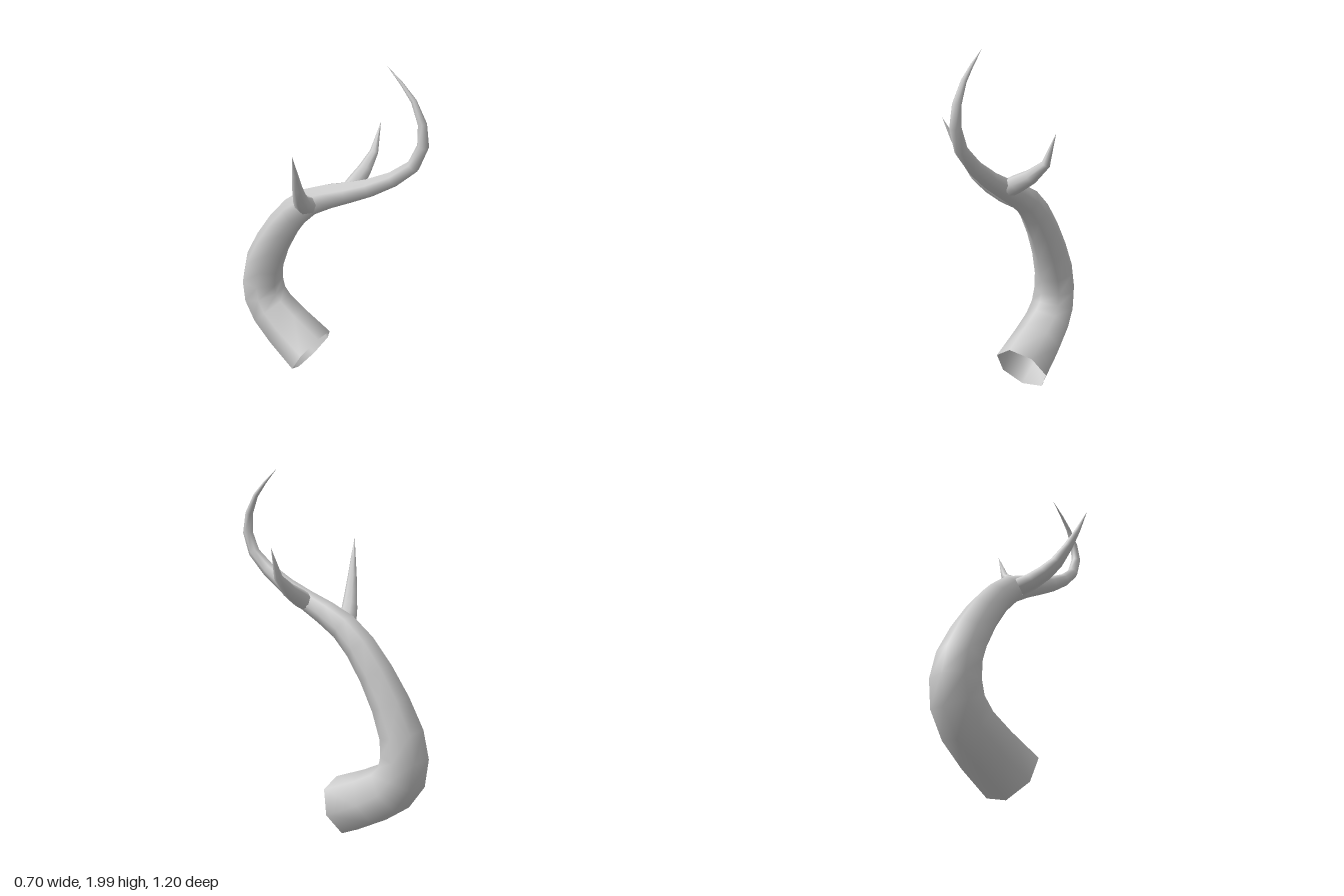
import * as THREE from 'three';

const SIDES = 7;

// Skin rings along a centreline of [x, y, z, radius]; "side" is perpendicular to the curve's plane.
function taperedHorn(name, rings, side) {
  const points = rings.map(([x, y, z]) => new THREE.Vector3(x, y, z));
  const u = new THREE.Vector3(...side).normalize();
  const positions = [], index = [];
  points.forEach((p, i) => {
    const before = points[Math.max(i - 1, 0)], after = points[Math.min(i + 1, points.length - 1)];
    const tangent = after.clone().sub(before).normalize();
    const v = u.clone().cross(tangent).normalize();
    for (let j = 0; j < SIDES; j++) {
      const a = (j / SIDES) * Math.PI * 2, r = rings[i][3];
      const q = p.clone().addScaledVector(u, r * Math.cos(a)).addScaledVector(v, r * Math.sin(a));
      positions.push(q.x, q.y, q.z);
    }
    if (i === points.length - 1) return;
    for (let j = 0; j < SIDES; j++) {
      const a = i * SIDES + j, b = i * SIDES + (j + 1) % SIDES;
      const c = a + SIDES, d = b + SIDES;
      index.push(a, c, b, b, c, d);
    }
  });
  const geometry = new THREE.BufferGeometry();
  geometry.setAttribute('position', new THREE.Float32BufferAttribute(positions, 3));
  geometry.setIndex(index);
  geometry.computeVertexNormals();
  const material = new THREE.MeshStandardMaterial({ color: 0xcccccc, side: THREE.DoubleSide });
  const mesh = new THREE.Mesh(geometry, material);
  mesh.name = name;
  return mesh;
}

export function createModel() {
  const antler = new THREE.Group();
  antler.name = 'antler';

  // Main beam: open at the base, bending back, up, forward and curling to a point
  antler.add(taperedHorn('mainBeam', [
    [0.03, 0.15, -0.077, 0.166],
    [0.032, 0.25, -0.265, 0.153],
    [0.034, 0.335, -0.39, 0.142],
    [0.036, 0.425, -0.455, 0.135],
    [0.038, 0.53, -0.472, 0.129],
    [0.04, 0.65, -0.452, 0.12],
    [0.042, 0.8, -0.385, 0.107],
    [0.044, 0.95, -0.295, 0.096],
    [0.045, 1.08, -0.195, 0.087],
    [0.046, 1.175, -0.09, 0.078],
    [0.048, 1.24, 0.03, 0.068],
    [0.05, 1.3, 0.16, 0.057],
    [0.052, 1.365, 0.29, 0.048],
    [0.054, 1.45, 0.425, 0.039],
    [0.056, 1.545, 0.53, 0.033],
    [0.057, 1.655, 0.573, 0.029],
    [0.058, 1.76, 0.56, 0.022],
    [0.06, 1.86, 0.505, 0.014],
    [0.06, 1.93, 0.435, 0.008],
    [0.06, 2.0, 0.35, 0]
  ], [1, 0, 0]));

  // Left tine: short, with a sharp upward kink
  antler.add(taperedHorn('leftTine', [
    [0.085, 1.3, 0.15, 0.05],
    [0.13, 1.325, 0.15, 0.048],
    [0.21, 1.37, 0.15, 0.039],
    [0.295, 1.443, 0.15, 0.024],
    [0.35, 1.6, 0.15, 0]
  ], [0, 0, 1]));

  // Right tine: longer, sweeping smoothly up and forward
  antler.add(taperedHorn('rightTine', [
    [-0.01, 1.18, -0.068, 0.054],
    [-0.07, 1.21, -0.034, 0.05],
    [-0.135, 1.255, 0.0, 0.045],
    [-0.195, 1.315, 0.034, 0.038],
    [-0.255, 1.41, 0.066, 0.027],
    [-0.305, 1.51, 0.094, 0.015],
    [-0.355, 1.625, 0.12, 0]
  ], [0.49, 0, 0.87]));

  return antler;
}
